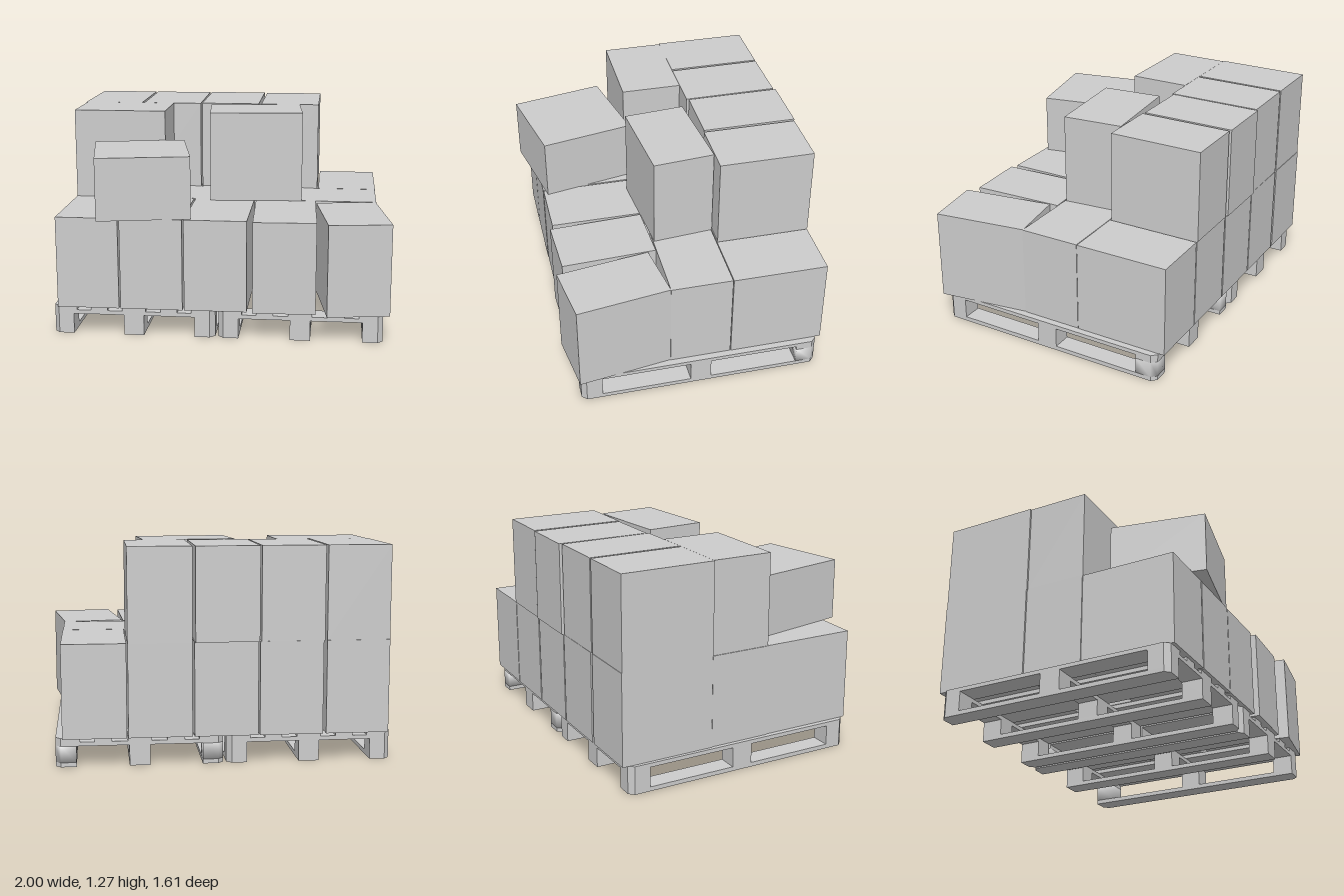
import * as THREE from 'three';
import { mergeVertices } from 'three/addons/utils/BufferGeometryUtils.js';

const grey = new THREE.MeshStandardMaterial({ color: 0xcccccc });
grey.name = 'plainGrey';

function addMesh(parent, name, geometry, x, y, z, turn = 0) {
  const mesh = new THREE.Mesh(geometry, grey);
  mesh.name = name;
  mesh.position.set(x, y, z);
  mesh.rotation.y = turn;
  parent.add(mesh);
  return mesh;
}

// Upright slab whose listed corners [sx, sz] are cut off at an angle
function cutSlab(w, h, d, cuts, cut = 0.03) {
  const s = new THREE.Shape();
  const pts = [];
  // counter-clockwise in the shape plane, where shape y = -z
  for (const [sx, sy] of [[1, -1], [1, 1], [-1, 1], [-1, -1]]) {
    const X = sx * w / 2, Y = sy * d / 2;
    if (cuts.some(([cx, cz]) => cx === sx && cz === -sy)) {
      const alongX = [X - sx * cut, Y], alongY = [X, Y - sy * cut];
      pts.push(...(sx * sy > 0 ? [alongY, alongX] : [alongX, alongY]));
    } else pts.push([X, Y]);
  }
  s.setFromPoints(pts.map(p => new THREE.Vector2(...p)));
  const g = new THREE.ExtrudeGeometry(s, { depth: h, bevelEnabled: false });
  g.rotateX(-Math.PI / 2);
  g.translate(0, -h / 2, 0);
  return g;
}

// Shares the normals around the edges for a softly shaded block
function soften(g) {
  g.deleteAttribute('normal');
  g.deleteAttribute('uv');
  const merged = mergeVertices(g, 1e-4);
  merged.computeVertexNormals();
  return merged;
}

const PALLET_Z = -0.03, PALLET_W = 0.97, PALLET_D = 1.46;

function makePallet(name, softBack) {
  const pallet = new THREE.Group();
  pallet.name = name;
  const blockW = 0.12, blockD = 0.126;
  for (const i of [-1, 0, 1]) {
    const x = i * (PALLET_W - blockW) / 2;
    const corners = i ? [[i, -1], [i, 1]] : [];
    // bottom runners
    addMesh(pallet, 'runner', cutSlab(blockW, 0.026, PALLET_D, corners), x, 0.013, 0);
    // spacer blocks
    for (const k of [-1, 0, 1]) {
      const corner = i && k ? [[i, k]] : [];
      let block = cutSlab(blockW, 0.096, blockD, corner);
      if (softBack && i && k === -1) block = soften(block);
      addMesh(pallet, 'spacerBlock', block, x, 0.074, k * (PALLET_D - blockD) / 2);
    }
  }
  // cross boards
  for (const k of [-1, 0, 1]) {
    const corners = k ? [[-1, k], [1, k]] : [];
    addMesh(pallet, 'crossBoard', cutSlab(PALLET_W, 0.024, blockD, corners),
      0, 0.134, k * (PALLET_D - blockD) / 2);
  }
  // deck boards: wide, narrow, wide, narrow, wide
  for (const [x, w] of [[-0.415, 0.14], [-0.21, 0.1], [0, 0.14], [0.21, 0.1], [0.415, 0.14]]) {
    const side = Math.abs(x) > 0.4 ? Math.sign(x) : 0;
    const corners = side ? [[side, -1], [side, 1]] : [];
    addMesh(pallet, 'deckBoard', cutSlab(w, 0.024, PALLET_D, corners), x, 0.158, 0);
  }
  pallet.position.z = PALLET_Z;
  return pallet;
}

export function createModel() {
  const model = new THREE.Group();
  model.name = 'loadedPallets';

  const left = makePallet('rightHandPallet', false);
  left.position.x = -0.515;
  const right = makePallet('leftHandPallet', true);
  right.position.x = 0.475;
  model.add(left, right);

  // Cartons share one size: short side, height, long side
  const S = 0.37, H = 0.55, L = 0.57;
  const upright = new THREE.BoxGeometry(S, H, L);
  const sideways = new THREE.BoxGeometry(L, H, S);
  const lying = new THREE.BoxGeometry(H, S, L);
  const low = 0.17 + H / 2, high = 0.72 + H / 2;

  // back row, lower and upper layer
  const backX = [-0.795, -0.405, -0.025, 0.357, 0.735];
  backX.forEach((x) => addMesh(model, 'backCarton', upright, x, low, -0.51));
  const upperBack = [[-0.795, -0.507, 0], [-0.41, -0.508, 0.006], [-0.03, -0.522, 0], [0.358, -0.515, 0]];
  for (const [x, z, turn] of upperBack) addMesh(model, 'upperBackCarton', upright, x, high, z, turn);

  // middle row, turned sideways
  for (const x of [-0.69, -0.075, 0.633]) addMesh(model, 'middleCarton', sideways, x, low, -0.036);
  addMesh(model, 'upperMiddleCarton', sideways, -0.685, high, -0.036);
  addMesh(model, 'turnedUpperCarton', sideways, 0.155, high, -0.016, 0.09);

  // front row, the last two knocked askew
  const front = [[-0.785, 0.435, 0], [-0.405, 0.435, 0], [-0.025, 0.433, 0],
    [0.368, 0.445, 0.043], [0.773, 0.457, 0.147]];
  for (const [x, z, turn] of front) addMesh(model, 'frontCarton', upright, x, low, z, turn);

  // carton lying on its side on top of the front row
  addMesh(model, 'lyingCarton', lying, -0.495, 0.72 + S / 2, 0.47, 0.2);

  return model;
}
